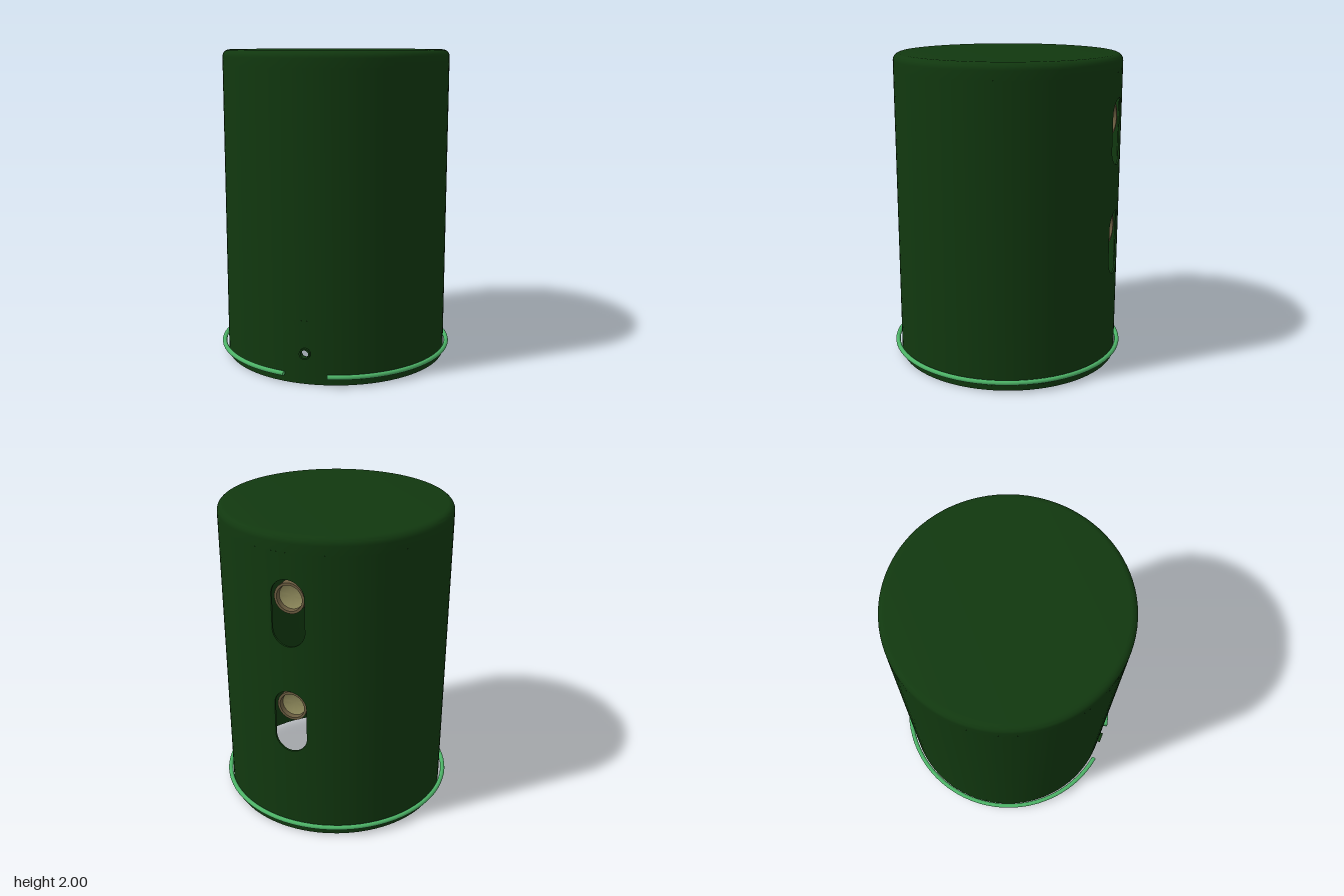
import * as THREE from 'three';
import { mergeGeometries, toCreasedNormals } from 'three/addons/utils/BufferGeometryUtils.js';

const R = 0.73, T = 0.012;          // shell radius and wall thickness
const RIM = 0.03, SHOULDER = 1.9;   // plain bands at the bottom and the top
const FRONT = Math.atan2(-0.2, 0.7), BACK = FRONT + Math.PI;
const W = 0.2;                      // half angle of the pierced panels

const material = (color) =>
  new THREE.MeshStandardMaterial({ color, side: THREE.DoubleSide });

function lathe(points, segments = 96, start = 0, length = Math.PI * 2) {
  const geo = new THREE.LatheGeometry(
    points.map(([x, y]) => new THREE.Vector2(x, y)), segments, start, length);
  geo.deleteAttribute('uv');
  return geo;
}

// Two-sided curved wall between two heights over an arc
function wallArc(y0, y1, start, length, segments) {
  return [
    lathe([[R, y0], [R, y1]], segments, start, length),
    lathe([[R - T, y1], [R - T, y0]], segments, start, length),
  ];
}

// Curved wall panel with a round-ended hole: rows run from the border
// to the hole on the outside, then back to the border on the inside
function piercedPanel(phi, y0, y1, holeY, holeR, holeHalf) {
  const N = 64, K = 5, pos = [], index = [];
  for (let row = 0; row < 2 * K; row++) {
    const outside = row < K;
    const f = (outside ? row : 2 * K - 1 - row) / (K - 1);
    const r = outside ? R : R - T;
    for (let i = 0; i <= N; i++) {
      const t = ((i % N) / N) * Math.PI * 2;
      const c = Math.cos(t), s = Math.sin(t), m = Math.max(Math.abs(c), Math.abs(s));
      const edgeA = (c / m) * W;
      const edgeY = (s / m) * (s > 0 ? y1 - holeY : holeY - y0);
      const end = Math.abs(s) < 1e-6 ? 0 : Math.sign(s) * holeHalf;
      const a = phi + THREE.MathUtils.lerp(edgeA, (c * holeR) / R, f);
      const y = holeY + THREE.MathUtils.lerp(edgeY, s * holeR + end, f);
      pos.push(r * Math.sin(a), y, r * Math.cos(a));
      if (row && i) {
        const p = (row - 1) * (N + 1) + i - 1, q = p + N + 1;
        index.push(p, p + 1, q, p + 1, q + 1, q);
      }
    }
  }
  const geo = new THREE.BufferGeometry();
  geo.setAttribute('position', new THREE.Float32BufferAttribute(pos, 3));
  geo.setIndex(index);
  geo.computeVertexNormals();
  return geo;
}

function shellGeometry() {
  // Closed top with a rounded shoulder
  const fillet = 0.045, outer = [[R, SHOULDER]], inner = [];
  for (let i = 0; i <= 8; i++) {
    const a = (i / 8) * Math.PI / 2, c = Math.cos(a), s = Math.sin(a);
    outer.push([R - fillet + fillet * c, 2 - fillet + fillet * s]);
    inner.unshift([R - fillet + (fillet - T) * c, 2 - fillet + (fillet - T) * s]);
  }
  const cap = lathe([...outer, [0, 2], [0, 2 - T], ...inner, [R - T, SHOULDER]]);
  const rim = lathe([[R - T, RIM], [R - T, 0], [R, 0], [R, RIM]]);
  const side = Math.PI - 2 * W;
  const parts = [
    cap, rim,
    ...wallArc(RIM, SHOULDER, FRONT + W, side, 44),
    ...wallArc(RIM, SHOULDER, BACK + W, side, 44),
    ...wallArc(0.4, SHOULDER, FRONT - W, 2 * W, 8),
    piercedPanel(FRONT, RIM, 0.4, 0.195, 0.03, 0),
    piercedPanel(BACK, RIM, 1.17, 0.81, 0.105, 0.105),
    piercedPanel(BACK, 1.17, SHOULDER, 1.53, 0.105, 0.105),
  ];
  return toCreasedNormals(mergeGeometries(parts), 0.6);
}

export function createModel() {
  const model = new THREE.Group();
  const green = material(0x11380f), wire = material(0x4cb266);
  const tan = material(0x8f8a5c), brown = material(0x6a5c40);

  const body = new THREE.Group();
  body.name = 'body';
  body.position.set(0.004, 0, -0.004);
  model.add(body);

  const add = (parent, name, geo, mat) => {
    const mesh = new THREE.Mesh(geo, mat);
    mesh.name = name;
    parent.add(mesh);
    return mesh;
  };
  add(body, 'shell', shellGeometry(), green);

  // Turned part whose axis points outward through the wall
  const mount = (name, points, mat, phi, y) => {
    const geo = toCreasedNormals(lathe(points, 40), 0.6);
    geo.rotateX(Math.PI / 2).rotateY(phi).translate(0, y, 0);
    add(body, name, geo, mat);
  };

  // Small hollow collar at the front
  mount('collar', [[0.025, R - 0.02], [0.035, R - 0.02], [0.035, R + 0.018],
    [0.025, R + 0.018], [0.025, R - 0.02]], green, FRONT, 0.195);

  // Recessed cups behind the upper ends of the slots
  for (const y of [0.905, 1.615]) {
    const front = R - 0.03;
    mount('cupSleeve', [[0, front - 0.07], [0.095, front - 0.07], [0.095, front],
      [0.08, front], [0.076, front - 0.03]], brown, BACK, y);
    mount('cupFloor', [[0.076, front - 0.03], [0.06, front - 0.037],
      [0.03, front - 0.043], [0, front - 0.045]], tan, BACK, y);
  }

  // Open wire ring around the foot
  const ring = new THREE.Group();
  ring.name = 'wireRing';
  ring.position.y = 0.062;
  model.add(ring);
  const from = 2.02, arc = Math.PI * 2 - 0.363, major = 0.754, minor = 0.015;
  add(ring, 'wire', new THREE.TorusGeometry(major, minor, 16, 72, arc)
    .rotateZ(from).rotateX(Math.PI / 2), wire);
  for (const a of [from, from + arc]) {
    const end = add(ring, 'wireEnd', new THREE.CircleGeometry(minor, 16), wire);
    end.position.set(major * Math.cos(a), 0, major * Math.sin(a));
    end.rotation.y = -a;
  }
  return model;
}
